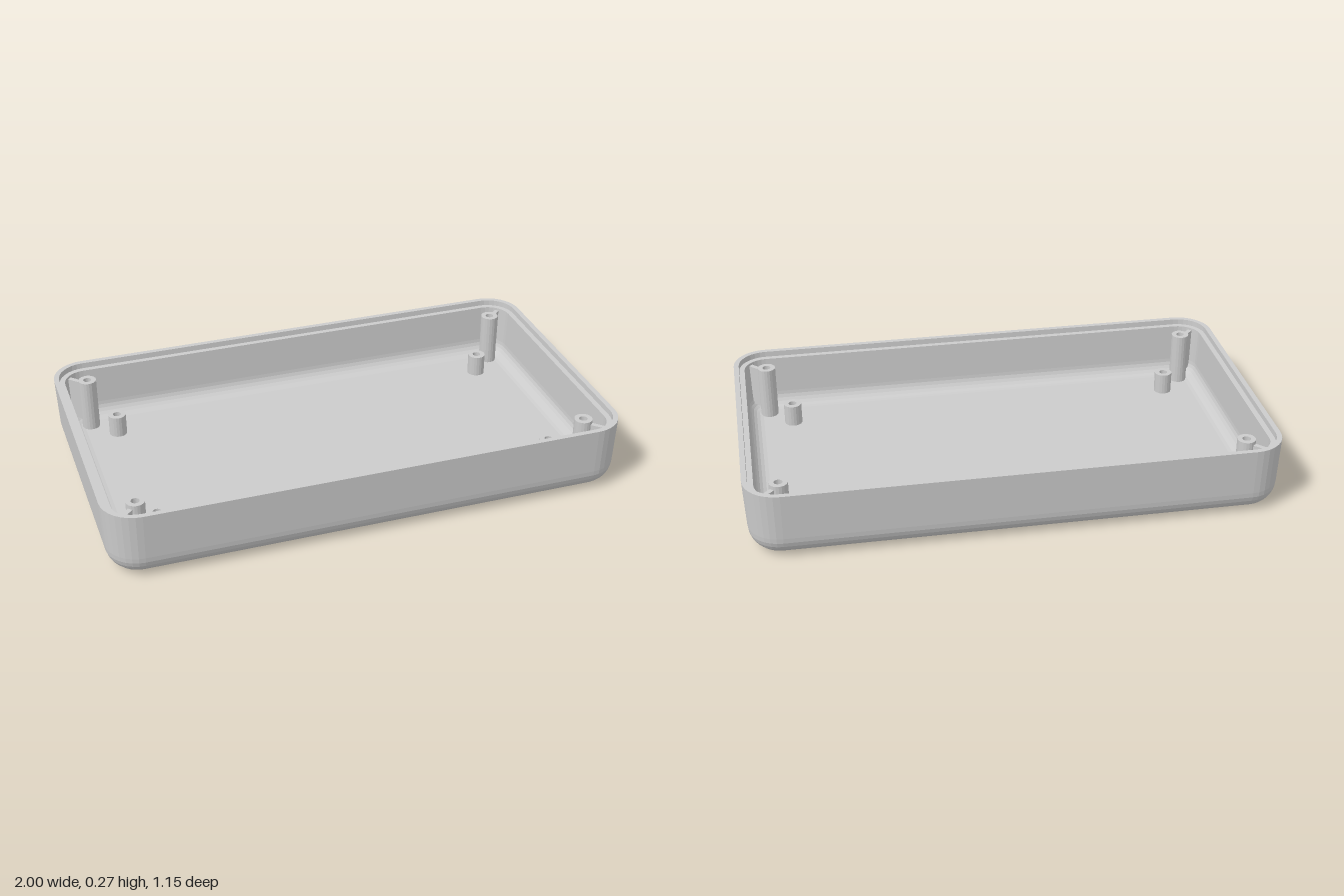
import * as THREE from 'three';

const CX = 0.87, CZ = 0.446, R = 0.13;   // corner centres and rim corner radius
const H = 0.272, FLOOR = 0.045, WALL = 0.042;
const SEG = 8;                           // facets per rounded corner

const material = new THREE.MeshStandardMaterial({ color: 0xcccccc, flatShading: true });

// One rounded-rectangle ring, inset from the rim outline
function ring(inset, y) {
  const pts = [], r = R - inset;
  [[1, 1], [-1, 1], [-1, -1], [1, -1]].forEach(([sx, sz], q) => {
    for (let k = 0; k <= SEG; k++) {
      const t = (q + k / SEG) * Math.PI / 2;
      pts.push([sx * CX + r * Math.cos(t), y, sz * CZ + r * Math.sin(t)]);
    }
  });
  return pts;
}

// Closed skin through the rings, from the underside up and over into the inside floor
function shellGeometry(profile) {
  const rings = profile.map(([inset, y]) => ring(inset, y));
  const n = rings[0].length;
  const centre = (y) => Array.from({ length: n }, () => [0, y, 0]);
  rings.unshift(centre(profile[0][1]));
  rings.push(centre(profile[profile.length - 1][1]));
  const pos = [], last = rings.length - 2;
  for (let i = 0; i <= last; i++) {
    for (let j = 0; j < n; j++) {
      const k = (j + 1) % n, a = rings[i], b = rings[i + 1];
      if (i < last) pos.push(...a[j], ...b[j], ...b[k]);
      if (i > 0) pos.push(...a[j], ...b[k], ...a[k]);
    }
  }
  const g = new THREE.BufferGeometry();
  g.setAttribute('position', new THREE.Float32BufferAttribute(pos, 3));
  g.computeVertexNormals();
  return g;
}

// Quarter-round between wall and floor; draws floor -> wall
function fillet(wallInset, floorY, r, steps) {
  return Array.from({ length: steps + 1 }, (_, i) => {
    const t = i / steps * Math.PI / 2;
    return [wallInset + r * (1 - Math.sin(t)), floorY + r * (1 - Math.cos(t))];
  });
}

// Hollow screw post
function post(name, x, z, top) {
  const ro = 0.035, ri = 0.016, base = FLOOR - 0.01;
  const profile = [[ro, base], [ro, top], [ri, top], [ri, FLOOR + 0.01], [0, FLOOR + 0.01]]
    .map(([r, y]) => new THREE.Vector2(r, y));
  const mesh = new THREE.Mesh(new THREE.LatheGeometry(profile, 20), material);
  mesh.name = name;
  mesh.position.set(x, 0, z);
  return mesh;
}

export function createModel() {
  const group = new THREE.Group();
  group.name = 'enclosureTray';

  // Tray: drafted outer wall, stepped rim, inner wall and rounded floor edge
  const tray = new THREE.Mesh(shellGeometry([
    ...fillet(0.008, 0, 0.09, 7),
    [0, H],
    [0.02, H],
    [0.021, H - 0.022],
    [WALL, H - 0.022],
    ...fillet(WALL + 0.006, FLOOR, 0.055, 6).reverse(),
  ]), material);
  tray.name = 'tray';
  group.add(tray);

  for (const sx of [-1, 1]) {
    for (const sz of [-1, 1]) {
      // Tall corner post, short inner post
      group.add(post('cornerPost', sx * CX, sz * CZ, 0.255));
      group.add(post('boardPost', sx * 0.778, sz * 0.356, 0.13));

      // Diagonal rib tying the corner post to the wall
      const from = 0.028, to = R - WALL + 0.004, top = 0.24;
      const rib = new THREE.Mesh(new THREE.BoxGeometry(to - from, top - 0.07, 0.018), material);
      rib.name = 'cornerRib';
      const d = (from + to) / 2 * Math.SQRT1_2;
      rib.position.set(sx * (CX + d), (top + 0.07) / 2, sz * (CZ + d));
      rib.rotation.y = -sx * sz * Math.PI / 4;
      group.add(rib);
    }
  }
  return group;
}
